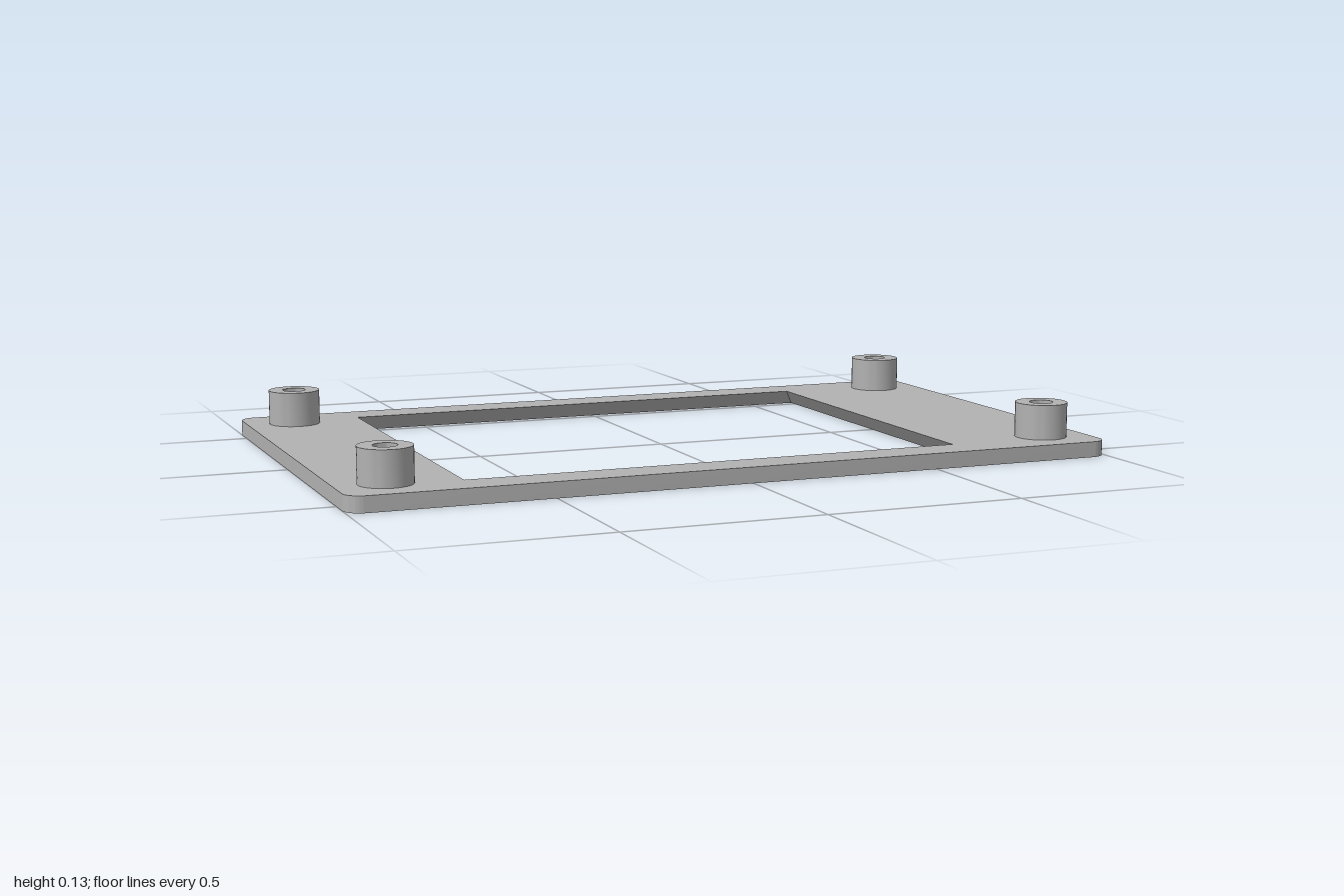
import * as THREE from 'three';
import { toCreasedNormals } from 'three/addons/utils/BufferGeometryUtils.js';

const HALF_X = 1, HALF_Z = 0.597, CORNER = 0.045, THICK = 0.04;
const WINDOW = { x0: -0.695, x1: 0.6, z: 0.495, flare: 0.028 };

// Rounded outline, counter-clockwise
function outline() {
  const s = new THREE.Shape();
  const cx = HALF_X - CORNER, cz = HALF_Z - CORNER;
  [[cx, cz], [-cx, cz], [-cx, -cz], [cx, -cz]].forEach(([x, y], i) =>
    s.absarc(x, y, CORNER, i * Math.PI / 2, (i + 1) * Math.PI / 2, false));
  return s;
}

// Window corners, clockwise, grown by d on every side
function windowPoints(d) {
  const { x0, x1, z } = WINDOW;
  return [[x0 - d, -z - d], [x0 - d, z + d], [x1 + d, z + d], [x1 + d, -z - d]]
    .map(([x, y]) => new THREE.Vector2(x, y));
}

// Strip of quads joining a lower loop to an upper loop
function wall(lower, upper) {
  const pos = [];
  const n = lower.length;
  for (let i = 0; i < n; i++) {
    const j = (i + 1) % n;
    const a = [lower[i].x, 0, -lower[i].y], b = [lower[j].x, 0, -lower[j].y];
    const c = [upper[j].x, THICK, -upper[j].y], d = [upper[i].x, THICK, -upper[i].y];
    pos.push(...a, ...b, ...c, ...a, ...c, ...d);
  }
  const g = new THREE.BufferGeometry();
  g.setAttribute('position', new THREE.Float32BufferAttribute(pos, 3));
  return toCreasedNormals(g, 0.6);
}

// Flat face of the plate with the window cut out
function face(flare) {
  const s = outline();
  s.holes.push(new THREE.Path(windowPoints(flare)));
  return new THREE.ShapeGeometry(s, 8);
}

export function createModel() {
  const model = new THREE.Group();
  model.name = 'bezelPlate';
  const grey = new THREE.MeshStandardMaterial({ color: 0xb2b2b2 });
  grey.name = 'plain grey';
  const add = (name, geometry) => {
    const mesh = new THREE.Mesh(geometry, grey);
    mesh.name = name;
    model.add(mesh);
    return mesh;
  };

  // Plate: top, underside, rim and the window edge that widens downward
  add('plateTop', face(0).rotateX(-Math.PI / 2).translate(0, THICK, 0));
  add('plateUnderside', face(WINDOW.flare).rotateX(Math.PI / 2));
  const rim = outline().getPoints(8).filter((p, i, all) =>
    p.distanceTo(all[(i + 1) % all.length]) > 1e-6);
  add('plateRim', wall(rim, rim));
  add('windowEdge', wall(windowPoints(WINDOW.flare), windowPoints(0)));

  // Hollow standoffs with blind holes, one at each corner
  const profile = [[0.067, THICK], [0.067, 0.13], [0.03, 0.13], [0.03, THICK + 0.002], [0, THICK + 0.002]]
    .map(([r, y]) => new THREE.Vector2(r, y));
  const standoff = toCreasedNormals(new THREE.LatheGeometry(profile, 40), 0.6);
  for (const x of [-0.875, 0.875]) {
    for (const z of [-0.468, 0.468]) {
      add('standoff', standoff).position.set(x, 0, z);
    }
  }
  return model;
}
